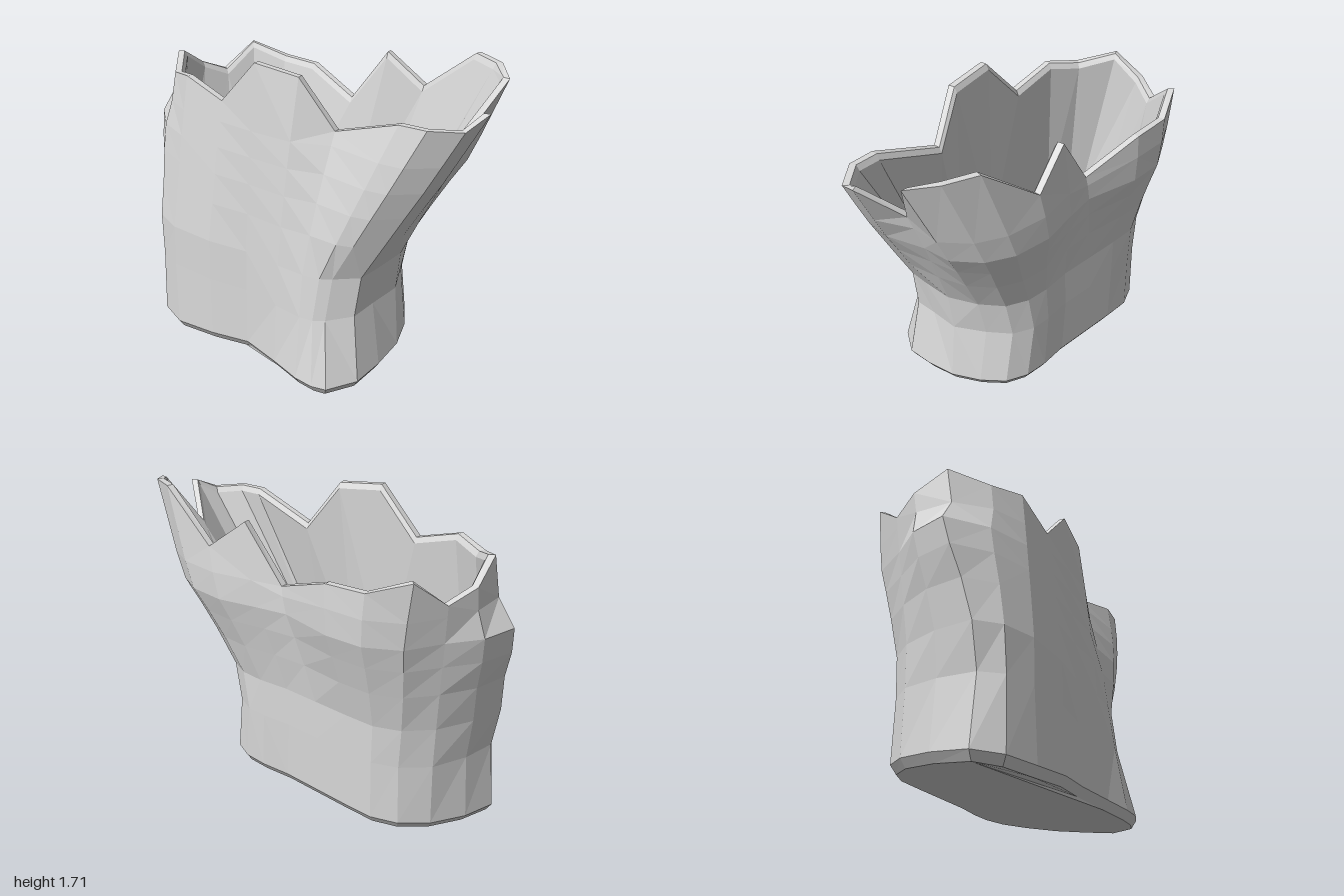
import * as THREE from 'three';

// Jagged rim, clockwise from the back right: x, z, y
const RIM = [
  [-0.86, -0.25, 1.54], [-0.68, -0.37, 1.47], [-0.46, -0.41, 1.46], [-0.13, -0.40, 1.34],
  [0.07, -0.46, 1.63], [0.27, -0.54, 1.47], [0.60, -0.555, 1.71], [0.77, -0.51, 1.70],
  [0.90, -0.40, 1.67], [0.80, -0.25, 1.41], [1.0, -0.15, 1.58], [0.98, 0.0, 1.52],
  [0.87, 0.13, 1.53], [0.73, 0.165, 1.53], [0.36, 0.21, 1.41], [0.20, 0.30, 1.66],
  [-0.05, 0.37, 1.69], [-0.28, 0.41, 1.45], [-0.54, 0.44, 1.53], [-0.73, 0.39, 1.50],
  [-0.90, 0.25, 1.56], [-0.95, 0.08, 1.46], [-0.91, -0.07, 1.40],
];

// Footprint, same order: x, z
const FOOT = [
  [-0.75, -0.17], [-0.63, -0.25], [-0.47, -0.28], [-0.27, -0.31], [-0.07, -0.34], [0.09, -0.385],
  [0.22, -0.40], [0.34, -0.365], [0.44, -0.26], [0.525, -0.11], [0.565, 0.07], [0.58, 0.24],
  [0.51, 0.40], [0.44, 0.44], [0.33, 0.455], [0.15, 0.45], [-0.08, 0.45], [-0.32, 0.52],
  [-0.60, 0.56], [-0.78, 0.53], [-0.89, 0.42], [-0.89, 0.20], [-0.84, -0.02],
];

const N = RIM.length;
const BULGE = { 19: 0.04, 20: 0.1, 21: 0.05 }; // side swelling, by point
const LIFT = { 12: 0.01, 13: 0.02, 14: 0.025, 15: 0.035, 16: 0.045, 17: 0.03 }; // foot raised off the ground
// Hollow above the foot at the front: shift in x, early lean in z
const WAIST = {
  10: [0.02, 0], 11: [0.03, 0.17], 12: [0.06, 0.36], 13: [0.04, 0.34], 14: [0.02, 0.3],
  15: [0, 0.25], 16: [0, 0.15], 17: [0, 0.1], 18: [0, 0.1], 19: [0, 0.1],
};

// Move a ring inwards by d along its plan normals
function inset(ring, d, drop = 0) {
  return ring.map((p, i) => {
    const a = ring[(i + N - 1) % N], b = ring[(i + 1) % N];
    const tx = b.x - a.x, tz = b.z - a.z, l = Math.hypot(tx, tz);
    return new THREE.Vector3(p.x - (tz / l) * d, p.y - drop, p.z + (tx / l) * d);
  });
}

// Tilted ring at the foot
function footRing(y) {
  return FOOT.map(([x, z], i) => new THREE.Vector3(x, y + (0.56 - z) * 0.155 + (LIFT[i] || 0), z));
}

// Wall ring: leans evenly towards the rim, but the back swells out early
function section(level, tilt, bulge) {
  return FOOT.map(([fx, fz], i) => {
    const [rx, rz, ry] = RIM[i];
    const [pinch, early] = WAIST[i] || [0, 0];
    const y = Math.min(level, ry - 0.05);
    const lean = Math.max((y - 0.66) / (ry - 0.66), -0.1);
    const fade = Math.min(1, y / 0.66) * (1 - Math.max(lean, 0)) ** 2;
    const swell = rz < -0.2 ? Math.min((y - 0.7) / 0.5, 1.05) : lean;
    return new THREE.Vector3(
      fx + (rx - fx) * lean - (BULGE[i] || 0) * bulge - pinch * fade,
      y + (0.56 - fz) * tilt,
      fz + (rz - fz) * (Math.max(swell, 0) + early * fade),
    );
  });
}

function build(points) {
  return new THREE.BufferGeometry().setFromPoints(points);
}

// Skin consecutive rings, splitting each quad along its shorter diagonal
function loft(rings) {
  const pts = [];
  for (let r = 0; r < rings.length - 1; r++) {
    const a = rings[r], b = rings[r + 1];
    for (let i = 0; i < N; i++) {
      const j = (i + 1) % N;
      if (a[i].distanceTo(b[j]) < a[j].distanceTo(b[i])) pts.push(a[i], b[j], a[j], a[i], b[i], b[j]);
      else pts.push(a[i], b[i], a[j], b[i], b[j], a[j]);
    }
  }
  return build(pts);
}

// Fill a ring, facing up (1) or down (-1)
function cap(ring, facing) {
  const plan = ring.map((p) => new THREE.Vector2(p.x, p.z));
  const pts = [];
  for (const [a, b, c] of THREE.ShapeUtils.triangulateShape(plan, [])) {
    const [p, q, r] = [ring[a], ring[b], ring[c]];
    const ny = (q.z - p.z) * (r.x - p.x) - (q.x - p.x) * (r.z - p.z);
    pts.push(p, ...(ny * facing > 0 ? [q, r] : [r, q]));
  }
  return build(pts);
}

export function createModel() {
  const group = new THREE.Group();
  group.name = 'brokenStump';
  const grey = new THREE.MeshStandardMaterial({ color: 0xd8d8d8 });
  grey.name = 'stumpGrey';
  grey.flatShading = true;

  const add = (name, geometry) => {
    geometry.computeVertexNormals();
    const mesh = new THREE.Mesh(geometry, grey);
    mesh.name = name;
    group.add(mesh);
  };

  const base = inset(footRing(0), 0.03);
  const rim = RIM.map(([x, z, y]) => new THREE.Vector3(x, y, z));
  const innerRim = inset(rim, 0.05, 0.03);
  const floor = inset(section(0.58, 0.03, 0), 0.075);

  // Outer wall: chamfered foot, waist, flare and side bulge
  add('outerWall', loft([
    base,
    footRing(0.045),
    section(0.42, 0.1, -0.4),
    section(0.66, 0.07, 0),
    section(0.88, 0.05, 0.3),
    section(1.05, 0.03, 0.8),
    section(1.2, 0, 1),
    section(1.34, 0, 0.1),
    rim,
  ]));
  add('rim', loft([rim, inset(rim, 0.035), innerRim]));
  add('hollowWall', loft([innerRim, floor]));
  add('hollowFloor', cap(floor, 1));
  add('underside', cap(base, -1));
  return group;
}
